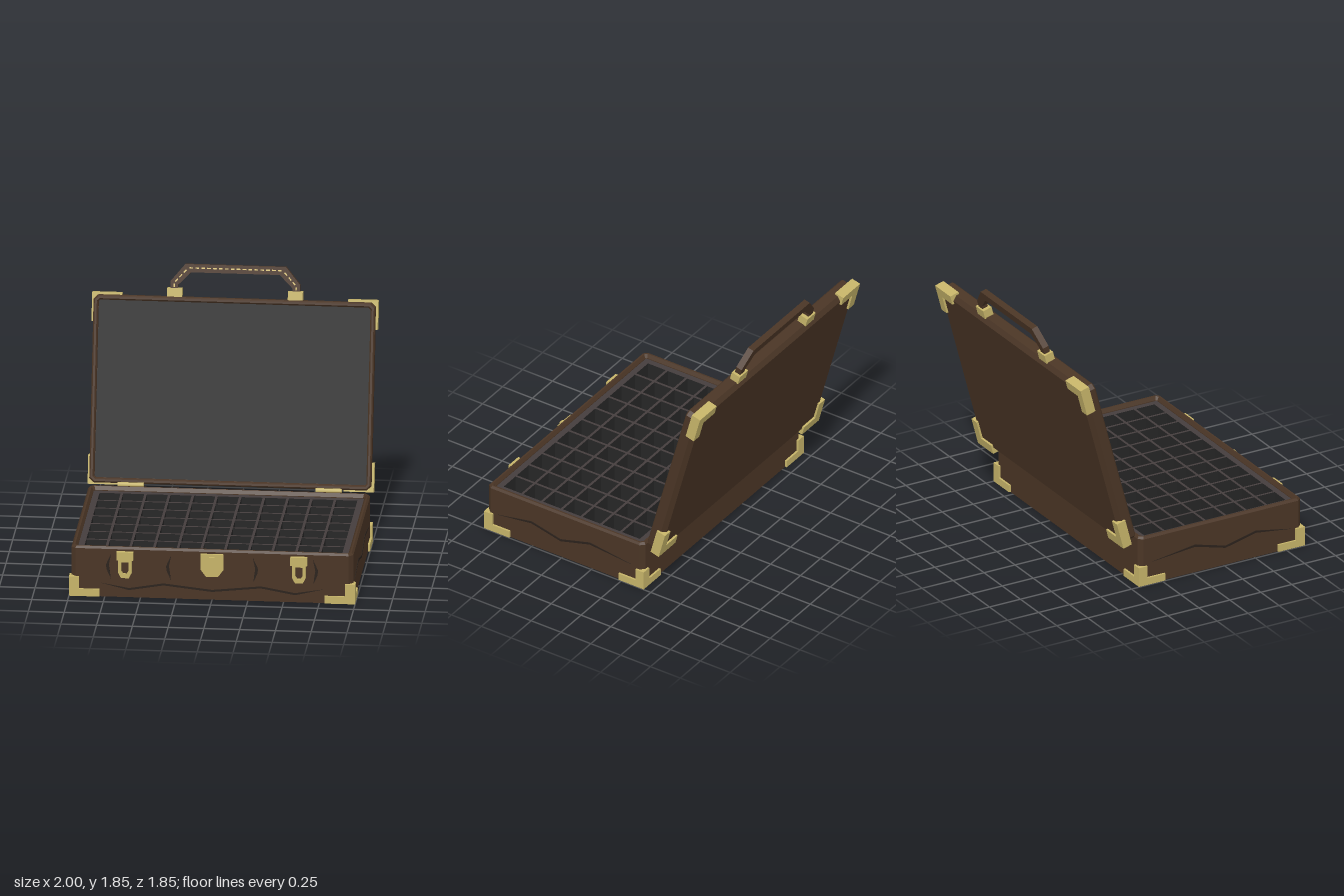
import * as THREE from 'three';

const mat = (name, color) => {
  const m = new THREE.MeshStandardMaterial({ color });
  m.name = name;
  return m;
};

export function createModel() {
  const leather = mat('brown leather', 0x4a3525);
  const crease = mat('dark crease', 0x2b221c);
  const brass = mat('brass', 0xc6b469);
  const lining = mat('black lining', 0x262626);
  const trim = mat('grey tray trim', 0x453d3d);
  const thread = mat('pale thread', 0xdcc67c);

  const HX = 0.985, HY = 0.655, ZC = 0.23;
  const model = new THREE.Group();
  model.name = 'openCase';

  const add = (parent, name, geo, material, x = 0, y = 0, z = 0) => {
    const m = new THREE.Mesh(geo, material);
    m.name = name;
    m.position.set(x, y, z);
    parent.add(m);
    return m;
  };
  const box = (parent, name, material, w, h, d, x, y, z) =>
    add(parent, name, new THREE.BoxGeometry(w, h, d), material, x, y, z);
  const poly = (pts) => new THREE.Shape(pts.map(([x, y]) => new THREE.Vector2(x, y)));
  const plate = (shape, depth) =>
    new THREE.ExtrudeGeometry(shape, { depth, bevelEnabled: false, curveSegments: 6 });
  // Closes a half outline (right side, bottom to top or reverse) by mirroring it
  const mirrored = (half) => [...half, ...half.map(([x, y]) => [-x, y]).reverse()];

  // Hollow case half: chamfered rectangles lofted through [inset, height] steps
  function shell(steps) {
    const ring = ([inset, h]) => {
      const a = HX - inset, b = HY - inset, c = 0.03 - inset * 0.5;
      return [[a, -b + c], [a, b - c], [a - c, b], [-a + c, b],
        [-a, b - c], [-a, -b + c], [-a + c, -b], [a - c, -b]].map(([x, y]) => [x, y, h]);
    };
    const rings = steps.map(ring);
    const center = (i) => Array(8).fill([0, 0, steps.at(i)[1]]);
    const all = [center(0), ...rings, center(-1)];
    const pos = [];
    for (let i = 0; i < all.length - 1; i++) {
      for (let j = 0; j < 8; j++) {
        const k = (j + 1) % 8;
        const a = all[i][j], b = all[i][k], c = all[i + 1][k], d = all[i + 1][j];
        if (i > 0) pos.push(...a, ...b, ...c);
        if (i === 0) pos.push(...a, ...c, ...d);
        else if (i < all.length - 2) pos.push(...a, ...c, ...d);
      }
    }
    const g = new THREE.BufferGeometry();
    g.setAttribute('position', new THREE.Float32BufferAttribute(pos, 3));
    g.computeVertexNormals();
    return g;
  }

  // ---- Base ----
  const base = new THREE.Group();
  base.name = 'base';
  model.add(base);
  const baseShell = shell([[0, 0], [0, 0.35], [0.013, 0.365], [0.025, 0.365], [0.04, 0.34], [0.04, 0.1]]);
  add(base, 'baseShell', baseShell, leather, 0, 0, ZC).rotation.x = -Math.PI / 2;

  // Compartment tray: grey top edges, dark cell walls
  const traySize = [0.945, 0.615];
  const tray = poly([[-traySize[0], -traySize[1]], [traySize[0], -traySize[1]],
    [traySize[0], traySize[1]], [-traySize[0], traySize[1]]]);
  const pitch = 0.1655, half = 0.0735;
  for (let i = 0; i < 11; i++) {
    for (let j = 0; j < 7; j++) {
      const x = (i - 5) * pitch, y = (j - 3) * pitch;
      tray.holes.push(new THREE.Path([[-1, -1], [-1, 1], [1, 1], [1, -1]].map(
        ([u, v]) => new THREE.Vector2(x + u * half, y + v * half))));
    }
  }
  add(base, 'compartmentTray', plate(tray, 0.235), [trim, lining], 0, 0.1, ZC).rotation.x = -Math.PI / 2;
  box(base, 'trayFloor', lining, 1.88, 0.01, 1.22, 0, 0.108, ZC);

  // Brass corners of the base
  for (const sx of [-1, 1]) {
    for (const sz of [-1, 1]) {
      const corner = new THREE.Group();
      corner.name = 'baseCorner';
      const piece = (w, h, d) => box(corner, 'cornerArm', brass, w, h, d,
        sx * (1 - w / 2), h / 2 + 0.002, ZC + sz * (0.67 - d / 2));
      piece(0.07, 0.143, 0.07);
      piece(0.213, 0.053, 0.03);
      piece(0.03, 0.053, 0.213);
      base.add(corner);
    }
  }

  // Leather creases: pointed strips along a zigzag, offset across the run
  function creaseStrip(pts, hw, upright) {
    const shift = (s) => pts.map(([x, y], i) => {
      const o = i === 0 || i === pts.length - 1 ? 0 : s * hw;
      return upright ? [x + o, y] : [x, y + o];
    });
    return plate(poly([...shift(-1), ...shift(1).slice(1, -1).reverse()]), 0.004);
  }
  const frontZ = ZC + HY;
  add(base, 'frontCrease', creaseStrip([[-0.775, 0.1], [-0.58, 0.06], [-0.34, 0.102], [0, 0.065],
    [0.34, 0.102], [0.58, 0.06], [0.775, 0.1]], 0.007, false), crease, 0, 0, frontZ);
  for (const s of [-1, 1]) {
    for (const x of [0.3, 0.72]) {
      add(base, 'uprightCrease', creaseStrip([[s * (x - 0.015), 0.318], [s * (x + 0.012), 0.235],
        [s * (x + 0.006), 0.2], [s * (x - 0.012), 0.135]], 0.01, true), crease, 0, 0, frontZ);
    }
    const side = creaseStrip([[-0.79, 0.15], [-0.51, 0.195], [-0.265, 0.138], [-0.02, 0.205],
      [0.325, 0.165]].map(([a, y]) => [s * a, y]), 0.008, false);
    add(base, 'sideCrease', side, crease, s * HX, 0, 0).rotation.y = s * Math.PI / 2;
  }

  // Latches with hanging loops
  for (const s of [-1, 1]) {
    const latch = new THREE.Group();
    latch.name = 'latch';
    latch.position.set(s * 0.608, 0, frontZ);
    box(latch, 'latchPlate', brass, 0.118, 0.06, 0.03, 0, 0.307, 0.015);
    const loop = poly(mirrored([[0.027, 0.145], [0.048, 0.185], [0.048, 0.285]]));
    loop.holes.push(new THREE.Path(mirrored([[0.012, 0.175], [0.025, 0.195], [0.025, 0.262]])
      .map(([x, y]) => new THREE.Vector2(x, y))));
    add(latch, 'latchLoop', plate(loop, 0.02), brass);
    base.add(latch);
  }

  // Centre lock
  add(base, 'lockPlate', plate(poly(mirrored([[0.042, 0.173], [0.08, 0.225], [0.08, 0.337]])), 0.017),
    brass, 0, 0, frontZ);
  box(base, 'lockButton', brass, 0.038, 0.055, 0.04, 0, 0.293, frontZ + 0.02);

  // Hinge barrels
  for (const s of [-1, 1]) {
    add(base, 'hinge', new THREE.CylinderGeometry(0.019, 0.019, 0.182, 8), brass,
      s * 0.692, 0.366, -0.438).rotation.z = Math.PI / 2;
  }

  // ---- Lid, leaning back from the hinge line ----
  const lid = new THREE.Group();
  lid.name = 'lid';
  lid.position.set(0, 0.373, -0.448);
  lid.rotation.x = -Math.PI / 12;
  model.add(lid);
  add(lid, 'lidShell', shell([[0.03, 0], [0, 0.03], [0, 0.1], [0.01, 0.11], [0.024, 0.11],
    [0.034, 0.098], [0.034, 0.06]]), leather, 0, HY, -0.11);
  box(lid, 'lidLining', lining, 2 * (HX - 0.035), 2 * (HY - 0.035), 0.008, 0, HY, -0.047);

  // Brass corners of the lid
  for (const sx of [-1, 1]) {
    for (const sy of [-1, 1]) {
      const outline = [[0, 0], [0.21, 0], [0.21, 0.07], [0.07, 0.07], [0.07, 0.205], [0, 0.205]]
        .map(([a, b]) => [sx * (1 - a), HY + sy * (0.67 - b)]);
      add(lid, 'lidCorner', plate(poly(outline), 0.07), brass, 0, 0, -0.125);
    }
  }

  // Handle with brass mounts and stitching
  const handle = new THREE.Group();
  handle.name = 'handle';
  handle.position.z = -0.058;
  lid.add(handle);
  const outer = [[0.453, 1.35], [0.453, 1.418], [0.352, 1.54]];
  const inner = [[-0.31, 1.483], [-0.4, 1.392], [-0.4, 1.35]];
  add(handle, 'grip', plate(poly([...outer, ...outer.map(([x, y]) => [-x, y]).reverse(),
    ...inner.slice().reverse(), ...inner.map(([x, y]) => [-x, y])]), 0.046), leather, 0, 0, -0.023);
  for (const s of [-1, 1]) box(handle, 'handleMount', brass, 0.104, 0.066, 0.07, s * 0.422, 1.338, 0);

  const stitchRow = (x0, y0, x1, y1, n) => {
    const len = Math.hypot(x1 - x0, y1 - y0) / n;
    for (let i = 0; i < n; i++) {
      const t = (i + 0.5) / n;
      box(handle, 'stitch', thread, len * 0.62, 0.009, 0.004,
        x0 + (x1 - x0) * t, y0 + (y1 - y0) * t, 0.024).rotation.z = Math.atan2(y1 - y0, x1 - x0);
    }
  };
  stitchRow(-0.33, 1.514, 0.33, 1.514, 16);
  for (const s of [-1, 1]) {
    stitchRow(s * 0.425, 1.41, s * 0.338, 1.506, 3);
    stitchRow(s * 0.426, 1.372, s * 0.426, 1.408, 1);
  }
  return model;
}
